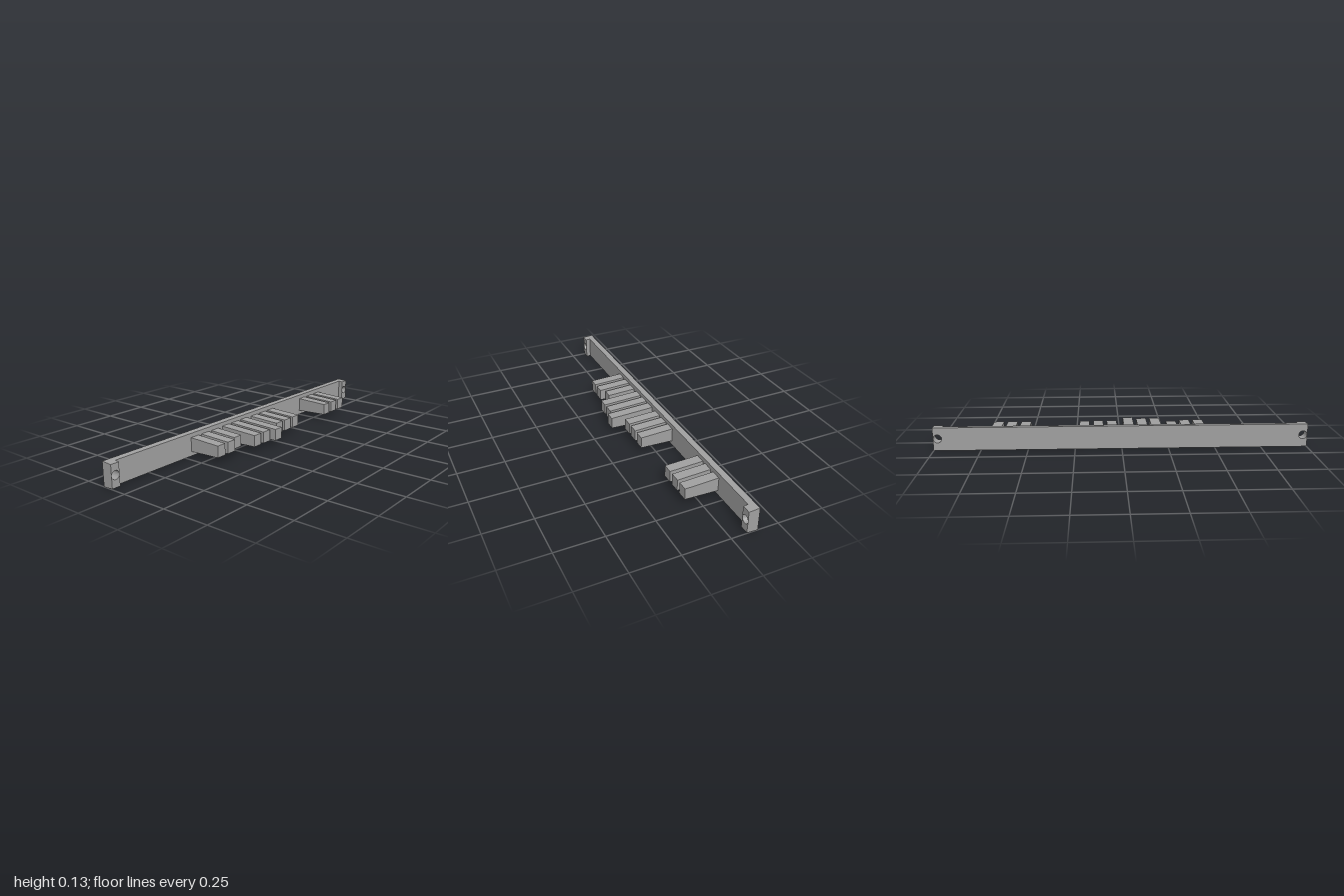
import * as THREE from 'three';

const BACK = -0.139, PLATE_FRONT = -0.106, TAB_FRONT = -0.081, MID = 0.0635;

export function createModel() {
  const model = new THREE.Group();
  const grey = new THREE.MeshStandardMaterial({ color: 0xa0a0a0, flatShading: true });
  grey.name = 'grey plastic';

  function add(name, geometry) {
    const mesh = new THREE.Mesh(geometry, grey);
    mesh.name = name;
    model.add(mesh);
  }

  // Extrudes a side profile of [z, y] points across the width
  function profile(points, x0, x1) {
    const shape = new THREE.Shape(points.map(([z, y]) => new THREE.Vector2(-z, y)));
    return new THREE.ExtrudeGeometry(shape, { depth: x1 - x0, bevelEnabled: false })
      .rotateY(Math.PI / 2).translate(x0, 0, 0);
  }

  // Half height of the drafted bar at a given depth
  const barHalf = z => 0.063 - (z - BACK) * 0.063;

  // Long back plate
  const b = barHalf(BACK), f = barHalf(PLATE_FRONT);
  add('backPlate', profile([
    [BACK, MID - b], [BACK, MID + b], [PLATE_FRONT, MID + f], [PLATE_FRONT, MID - f],
  ], -0.953, 0.953));

  // Thicker end tabs, each with a screw hole
  for (const side of [-1, 1]) {
    const shape = new THREE.Shape();
    const x0 = side < 0 ? -1 : 0.953, x1 = x0 + 0.047;
    shape.moveTo(x0, MID - b);
    shape.lineTo(x1, MID - b);
    shape.lineTo(x1, MID + b);
    shape.lineTo(x0, MID + b);
    const hole = new THREE.Path();
    hole.absarc(side * 0.9765, MID + 0.002, 0.0225, 0, Math.PI * 2, true);
    shape.holes.push(hole);
    const tab = new THREE.ExtrudeGeometry(shape, {
      depth: TAB_FRONT - BACK, bevelEnabled: false, curveSegments: 10,
    }).translate(0, 0, BACK);
    // Draft only the outer top and bottom faces
    const p = tab.attributes.position;
    for (let i = 0; i < p.count; i++) {
      const dy = p.getY(i) - MID;
      if (Math.abs(dy) > 0.05) p.setY(i, MID + Math.sign(dy) * barHalf(p.getZ(i)));
    }
    tab.computeVertexNormals();
    add(side < 0 ? 'rightEndTab' : 'leftEndTab', tab);
  }

  // Drafted key blocks: centre x and front z
  const keys = [
    [-0.432, 0.076], [-0.356, 0.076], [-0.28, 0.053],
    [-0.192, 0.116], [-0.117, 0.116], [-0.042, 0.139],
    [0.05, 0.076], [0.125, 0.076], [0.2, 0.076],
    [0.525, 0.076], [0.601, 0.076], [0.677, 0.076],
  ];
  keys.forEach(([x, z], i) => {
    const tip = 0.031, root = tip + (z - PLATE_FRONT) * 0.037, y = 0.064;
    add('key' + (i + 1), profile([
      [PLATE_FRONT, y - root], [PLATE_FRONT, y + root], [z, y + tip], [z, y - tip],
    ], x - 0.0275, x + 0.0275));
  });

  return model;
}
